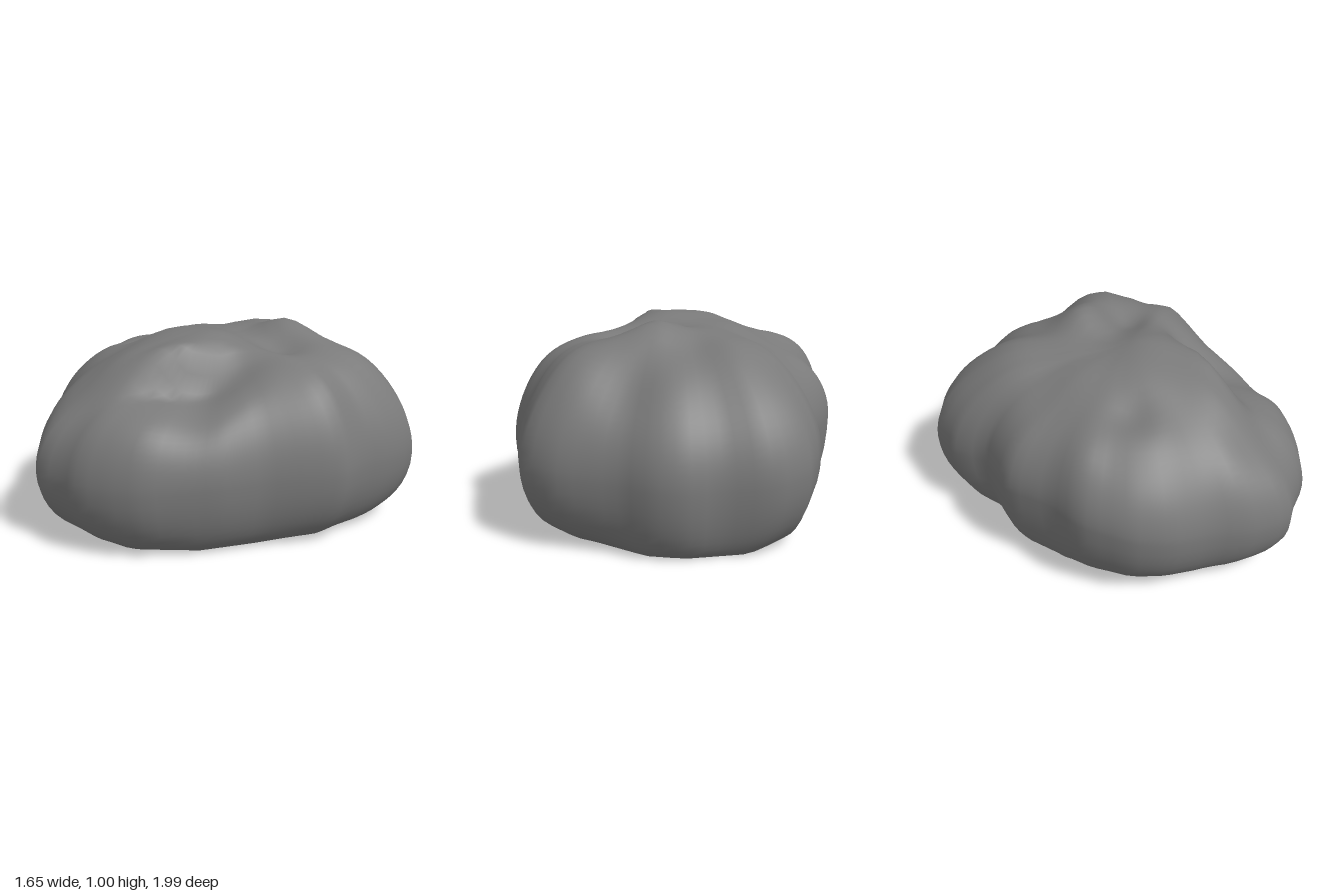
import * as THREE from 'three';

// Plan outlines as [x, z] points around the y axis
const rim = [
  [-0.35, -0.99], [-0.1, -0.96], [0.07, -1], [0.22, -0.96], [0.32, -0.88], [0.5, -0.82],
  [0.65, -0.77], [0.78, -0.64], [0.8, -0.43], [0.78, -0.3], [0.83, -0.1], [0.75, 0.05],
  [0.64, 0.23], [0.56, 0.45], [0.46, 0.62], [0.37, 0.77], [0.25, 0.87], [0.1, 0.95],
  [-0.03, 0.96], [-0.2, 1], [-0.39, 0.87], [-0.48, 0.75], [-0.68, 0.6], [-0.78, 0.45],
  [-0.83, 0.2], [-0.78, 0], [-0.78, -0.25], [-0.6, -0.52], [-0.62, -0.68], [-0.52, -0.89],
];
const foot = [
  [-0.25, -0.87], [0.05, -0.89], [0.22, -0.84], [0.5, -0.6], [0.6, -0.4], [0.6, -0.1],
  [0.5, 0.2], [0.4, 0.45], [0.2, 0.68], [0, 0.72], [-0.2, 0.7], [-0.4, 0.55],
  [-0.55, 0.3], [-0.63, 0], [-0.6, -0.28], [-0.46, -0.48], [-0.42, -0.7],
];

// Swellings and hollows of the crown: x, z, width, height
const bumps = [
  [0.12, -0.35, 0.1, 0.085], [0.5, -0.5, 0.2, 0.06], [-0.08, 0.08, 0.15, 0.04],
  [0.08, 0.4, 0.12, 0.05], [-0.78, 0.12, 0.1, 0.08], [0.28, -0.18, 0.09, -0.07],
  [-0.1, 0.82, 0.18, -0.09], [0.3, -0.72, 0.1, -0.06], [0.7, -0.1, 0.15, 0.06],
  [-0.42, 0.25, 0.07, -0.04], [-0.27, -0.42, 0.14, 0.03], [-0.5, -0.15, 0.13, -0.03],
  [-0.3, -0.7, 0.15, 0.04], [0.02, -0.16, 0.1, -0.03], [-0.2, 0.55, 0.12, 0.03],
];

// Distance from the axis to an outline in direction (c, s)
function reach(outline, c, s) {
  for (let i = 0; i < outline.length; i++) {
    const [ax, az] = outline[i];
    const [bx, bz] = outline[(i + 1) % outline.length];
    const da = c * az - s * ax;
    const db = c * bz - s * bx;
    if (da <= 0 && db > 0) {
      const t = da / (da - db);
      const r = c * (ax + t * (bx - ax)) + s * (az + t * (bz - az));
      if (r > 0) return r;
    }
  }
  return 0.8;
}

function crownHeight(x, z) {
  let y = 0.94;
  for (const [bx, bz, w, h] of bumps) {
    y += h * Math.exp(-((x - bx) ** 2 + (z - bz) ** 2) / (2 * w * w));
  }
  // Steep step down to a ledge on the front left
  const across = 0.894 * x + 0.447 * z - 0.27;
  const along = 0.894 * z - 0.447 * x - 0.25;
  y -= 0.24 * THREE.MathUtils.smoothstep(across, -0.04, 0.1)
    * Math.exp(-((along / 0.28) ** 2) - (across / 0.42) ** 2);
  return y + 0.012 * Math.sin(13 * x + 4 * z) * Math.sin(11 * z - 5 * x + 1);
}

const SIDES = 90, WALL = 8, DOME = 24;

// Point on the rock: rows 0..WALL climb the wall, the rest close the crown
function rockPoint(row, side) {
  const a = (side / SIDES) * Math.PI * 2;
  const c = Math.cos(a), s = Math.sin(a);
  const R = reach(rim, c, s), B = Math.min(reach(foot, c, s), R - 0.02);
  const rimY = 0.33 + 0.15 * Math.max(0, -c) ** 2 + 0.04 * Math.max(0, c);
  if (row <= WALL) {
    const t = row / WALL, k = t * Math.PI / 2;
    const r = B + (R - B) * Math.sin(k) ** 0.9;
    return [c * r, rimY * (0.6 * (1 - Math.cos(k)) + 0.4 * t), s * r];
  }
  const rho = Math.cos(((row - WALL) / DOME) * Math.PI / 2);
  const x = c * R * rho, z = s * R * rho;
  const lift = Math.sqrt(Math.max(0, 1 - rho ** 2.5));
  return [x, rimY + (crownHeight(x, z) - rimY) * lift, z];
}

export function createModel() {
  const group = new THREE.Group();
  group.name = 'boulder';
  const stone = new THREE.MeshStandardMaterial({ color: 0x7a7a7a });
  stone.name = 'grey stone';

  // Wall and crown as one smooth skin
  const positions = [], index = [];
  const rows = WALL + DOME;
  for (let row = 0; row < rows; row++) {
    for (let side = 0; side < SIDES; side++) positions.push(...rockPoint(row, side));
  }
  const tip = positions.length / 3;
  positions.push(0, crownHeight(0, 0), 0);
  for (let row = 0; row < rows; row++) {
    for (let side = 0; side < SIDES; side++) {
      const next = (side + 1) % SIDES;
      const a = row * SIDES + side, b = row * SIDES + next;
      if (row === rows - 1) index.push(a, tip, b);
      else index.push(a, a + SIDES, b, b, a + SIDES, b + SIDES);
    }
  }
  const skin = new THREE.BufferGeometry();
  skin.setAttribute('position', new THREE.Float32BufferAttribute(positions, 3));
  skin.setIndex(index);
  skin.computeVertexNormals();
  const body = new THREE.Mesh(skin, stone);
  body.name = 'rockBody';

  // Flat underside
  const outline = [];
  for (let side = 0; side < SIDES; side++) {
    const [x, , z] = rockPoint(0, side);
    outline.push(new THREE.Vector2(x, z));
  }
  const base = new THREE.Mesh(new THREE.ShapeGeometry(new THREE.Shape(outline)), stone);
  base.rotation.x = Math.PI / 2;
  base.name = 'flatUnderside';

  group.add(body, base);
  return group;
}
